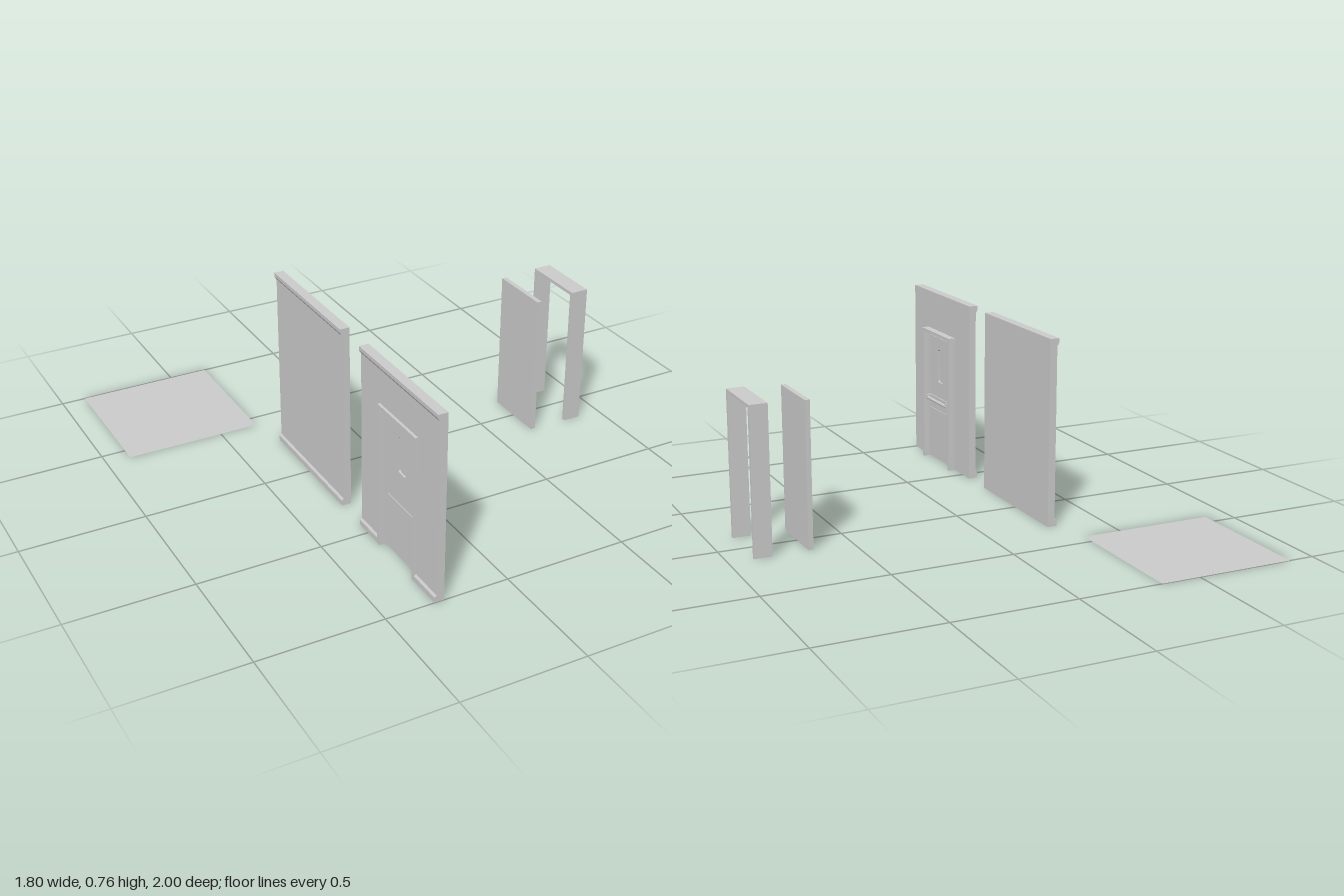
import * as THREE from 'three';

export function createModel() {
  const model = new THREE.Group();
  const grey = new THREE.MeshStandardMaterial({ color: 0xcccccc, flatShading: true, side: THREE.DoubleSide });

  const add = (parent, name, geometry) => {
    const mesh = new THREE.Mesh(geometry, grey);
    mesh.name = name;
    parent.add(mesh);
    return mesh;
  };
  const group = (name) => {
    const g = new THREE.Group();
    g.name = name;
    model.add(g);
    return g;
  };
  // Box given by its limits on each axis
  const box = (parent, name, [x0, x1], [y0, y1], [z0, z1]) =>
    add(parent, name, new THREE.BoxGeometry(x1 - x0, y1 - y0, z1 - z0)
      .translate((x0 + x1) / 2, (y0 + y1) / 2, (z0 + z1) / 2));
  const points = (list) => list.map(([a, b]) => new THREE.Vector2(a, b));
  // Slab drawn in the (z, y) plane, running from x0 to x1
  const slab = (parent, name, outline, x0, x1, hole) => {
    const shape = new THREE.Shape(points(outline));
    if (hole) shape.holes.push(new THREE.Path(points(hole)));
    return add(parent, name, new THREE.ExtrudeGeometry(shape, { depth: x1 - x0, bevelEnabled: false })
      .rotateY(-Math.PI / 2).translate(x1, 0, 0));
  };
  // Moulding profile drawn in (x, y), running along z
  const moulding = (parent, name, profile, z0, z1) =>
    add(parent, name, new THREE.ExtrudeGeometry(new THREE.Shape(points(profile)),
      { depth: z1 - z0, bevelEnabled: false }).translate(0, 0, z0));
  // Portal outline: two legs and a head
  const portal = (z0, z1, top, t) => [[z0, 0], [z0, top], [z1, top], [z1, 0],
    [z1 - t, 0], [z1 - t, top - t], [z0 + t, top - t], [z0 + t, 0]];
  // Rectangle with cut corners
  const cutRect = (z0, z1, y0, y1, c) => [[z0 + c, y0], [z1 - c, y0], [z1, y0 + c], [z1, y1 - c],
    [z1 - c, y1], [z0 + c, y1], [z0, y1 - c], [z0, y0 + c]];

  const back = -0.295, front = -0.265, edge = -0.304, height = 0.76;
  const skirtProfile = [[back, 0], [back, 0.028], [-0.299, 0.028], [edge, 0.022], [edge, 0]];
  const corniceProfile = [[back, 0.73], [back, height], [edge, height], [edge, 0.745], [-0.299, 0.735]];

  // Floor tile
  const floor = add(model, 'floor', new THREE.PlaneGeometry(0.56, 0.56).rotateX(-Math.PI / 2));
  floor.position.set(-0.62, 0, -0.72);

  // Plain wall
  const plain = group('plainWall');
  box(plain, 'wallPanel', [back, front], [0, height], [-0.28, 0.287]);
  moulding(plain, 'skirting', skirtProfile, -0.28, 0.287);
  moulding(plain, 'cornice', corniceProfile, -0.28, 0.287);

  // Wall with a doorway
  const doorWall = group('doorWall');
  const d0 = 0.578, d1 = 0.853;
  slab(doorWall, 'wallPanel', [[0.435, 0], [0.435, height], [1, height], [1, 0],
    [d1, 0], [d1, 0.595], [d0, 0.595], [d0, 0]], back, front);
  moulding(doorWall, 'skirtingRight', skirtProfile, 0.435, d0);
  moulding(doorWall, 'skirtingLeft', skirtProfile, d1, 1);
  moulding(doorWall, 'cornice', corniceProfile, 0.435, 1);
  slab(doorWall, 'doorFrame', portal(d0, d1, 0.595, 0.014), -0.306, -0.234);

  // Door leaf with a window
  const door = group('door');
  const windowHole = cutRect(0.69, 0.743, 0.364, 0.513, 0.008);
  slab(door, 'doorLeaf', [[0.592, 0.005], [0.592, 0.581], [0.839, 0.581], [0.839, 0.005]], -0.28, -0.26, windowHole);
  slab(door, 'windowPane', windowHole, -0.272, -0.268);

  // Edge strips and kick plates on both faces
  for (const [side, x0, x1] of [['Front', -0.26, -0.257], ['Back', -0.283, -0.28]]) {
    const strip = (name, y, z) => box(door, name + side, [x0, x1], y, z);
    strip('topStrip', [0.561, 0.567], [0.608, 0.826]);
    strip('stripRight', [0.295, 0.567], [0.608, 0.615]);
    strip('stripLeft', [0.295, 0.567], [0.82, 0.826]);
    strip('kickPlate', [0.02, 0.235], [0.615, 0.826]);
  }

  // Push bar
  box(door, 'barRail', [-0.26, -0.255], [0.267, 0.294], [0.61, 0.826]);
  for (const z of [0.62, 0.816]) {
    box(door, 'barBracket', [-0.26, -0.238], [0.268, 0.293], [z - 0.008, z + 0.008]);
  }
  const bar = add(door, 'pushBar', new THREE.CylinderGeometry(0.007, 0.007, 0.196, 8).rotateX(Math.PI / 2));
  bar.position.set(-0.243, 0.28, 0.718);

  // Separate door leaf and frame
  box(model, 'looseDoorLeaf', [0.662, 0.682], [0, 0.588], [-0.128, 0.137]);
  slab(model, 'looseDoorFrame', portal(-0.134, 0.141, 0.595, 0.014), 0.827, 0.9);

  return model;
}
